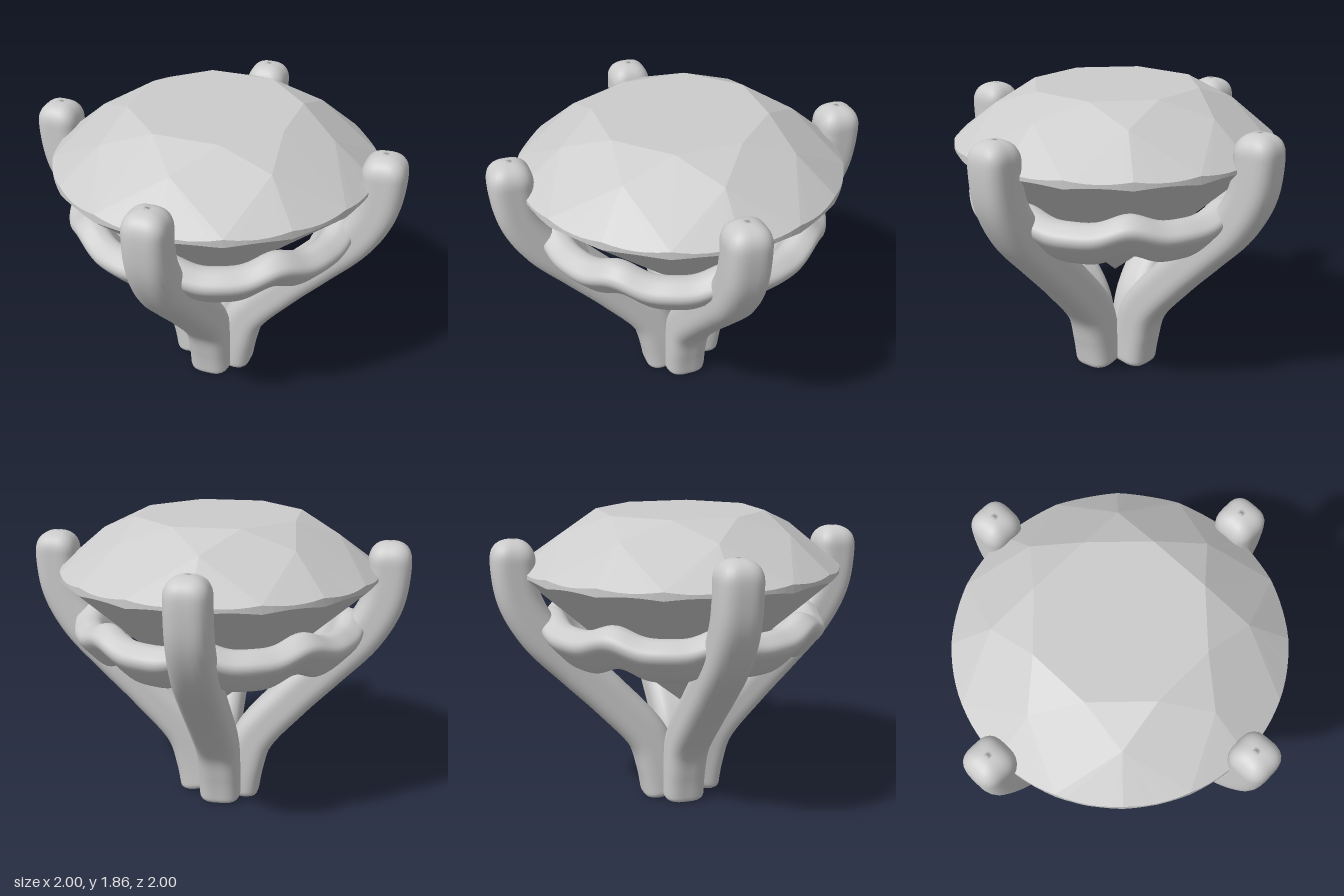
import * as THREE from 'three';
import { ParametricGeometry } from 'three/addons/geometries/ParametricGeometry.js';

const V = (x, y, z) => new THREE.Vector3(x, y, z);
const polar = (r, deg, y) => {
  const a = THREE.MathUtils.degToRad(deg);
  return V(r * Math.sin(a), y, r * Math.cos(a));
};

// Round brilliant-cut stone, faceted, with eightfold symmetry
function gemGeometry() {
  const pos = [];
  const tri = (...pts) => pts.forEach(p => pos.push(p.x, p.y, p.z));
  const dip = a => 0.015 * Math.abs(Math.sin(Math.PI * a / 22.5));
  const rimTop = a => polar(1, a, 1.53 - dip(a));
  const rimBottom = a => polar(1, a, 1.478 + dip(a));
  const tableCentre = V(0, 1.86, 0), culet = V(0, 0.62, 0);
  const steps = 6;
  for (let k = 0; k < 8; k++) {
    const a = k * 45, lo = a - 22.5, hi = a + 22.5;
    const tableLo = polar(0.53, lo, 1.86), tableHi = polar(0.53, hi, 1.86);
    const star = polar(0.742, a, 1.75), starNext = polar(0.742, a + 45, 1.75);
    const low = polar(0.28, a, 0.843), lowNext = polar(0.28, a + 45, 0.843);
    // table, star facet, crown kite, pavilion kite
    tri(tableCentre, tableLo, tableHi);
    tri(tableLo, star, tableHi);
    tri(tableHi, star, rimTop(hi));
    tri(tableHi, rimTop(hi), starNext);
    tri(culet, lowNext, low);
    tri(low, lowNext, rimBottom(hi));
    // girdle facets and the scalloped girdle itself
    for (let i = 0; i < 2 * steps; i++) {
      const p = lo + 22.5 * i / steps, q = lo + 22.5 * (i + 1) / steps;
      tri(star, rimTop(p), rimTop(q));
      tri(rimTop(p), rimBottom(p), rimBottom(q));
      tri(rimTop(p), rimBottom(q), rimTop(q));
      tri(low, rimBottom(q), rimBottom(p));
    }
  }
  const g = new THREE.BufferGeometry();
  g.setAttribute('position', new THREE.Float32BufferAttribute(pos, 3));
  g.computeVertexNormals();
  return g;
}

// Prong: rounded-square section swept along a curve, domed on top, blunt at the foot
function prongGeometry(sx, sz) {
  const path = [
    [0.07, 0, 0.11], [0.095, 0.2, 0.135], [0.145, 0.4, 0.175], [0.325, 0.68, 0.335],
    [0.485, 0.9, 0.485], [0.64, 1.13, 0.64], [0.722, 1.34, 0.722],
    [0.745, 1.53, 0.745], [0.742, 1.72, 0.742],
  ];
  const curve = new THREE.CatmullRomCurve3(path.map(([x, y, z]) => V(sx * x, y, sz * z)));
  const length = curve.getLength();
  const side = V(sz, 0, -sx).normalize();
  return new ParametricGeometry((u, v, out) => {
    const t = (1 - Math.cos(Math.PI * v)) / 2;
    const foot = Math.min(t * length / 0.06, 1), head = Math.min((1 - t) * length / 0.13, 1);
    const scale = Math.pow(1 - Math.pow(1 - foot, 3), 1 / 3) * Math.pow(1 - Math.pow(1 - head, 2.3), 1 / 2.3);
    const angle = u * Math.PI * 2;
    const r = (0.141 - 0.009 * Math.cos(4 * angle)) * Math.max(scale, 0.002);
    const normal = curve.getTangentAt(t).cross(side).normalize();
    out.copy(curve.getPointAt(t))
      .addScaledVector(side, r * Math.cos(angle))
      .addScaledVector(normal, r * Math.sin(angle));
    out.y = Math.max(out.y, 0.004 * (1 - foot));
  }, 32, 72);
}

// Collar: slanted band circling the stone, rising and falling in waves
function collarGeometry() {
  const profile = new THREE.CatmullRomCurve3([
    [0.77, 1.27], [0.83, 1.28], [0.88, 1.255], [0.92, 1.215], [0.92, 1.175], [0.85, 1.09],
    [0.775, 1.02], [0.74, 1.005], [0.69, 1.01], [0.63, 1.05], [0.69, 1.15],
  ].map(([r, y]) => V(r, y, 0)), true);
  return new ParametricGeometry((u, v, out) => {
    const a = v * Math.PI * 2, p = profile.getPoint(u % 1);
    const wave = 0.03 * (Math.cos(8 * a) - 1) + 0.008 * (Math.cos(16 * a) - 1);
    out.set(p.x * Math.sin(a), p.y + wave, p.x * Math.cos(a));
  }, 44, 192);
}

export function createModel() {
  const model = new THREE.Group();
  const metal = new THREE.MeshStandardMaterial({ color: 0xcccccc });
  const stone = new THREE.MeshStandardMaterial({ color: 0xcccccc, flatShading: true });
  const add = (name, geometry, material) => {
    const mesh = new THREE.Mesh(geometry, material);
    mesh.name = name;
    model.add(mesh);
  };

  add('gemstone', gemGeometry(), stone);
  add('wavyCollar', collarGeometry(), metal);
  for (const sx of [1, -1])
    for (const sz of [1, -1])
      add((sz > 0 ? 'front' : 'back') + (sx > 0 ? 'Left' : 'Right') + 'Prong', prongGeometry(sx, sz), metal);
  return model;
}
